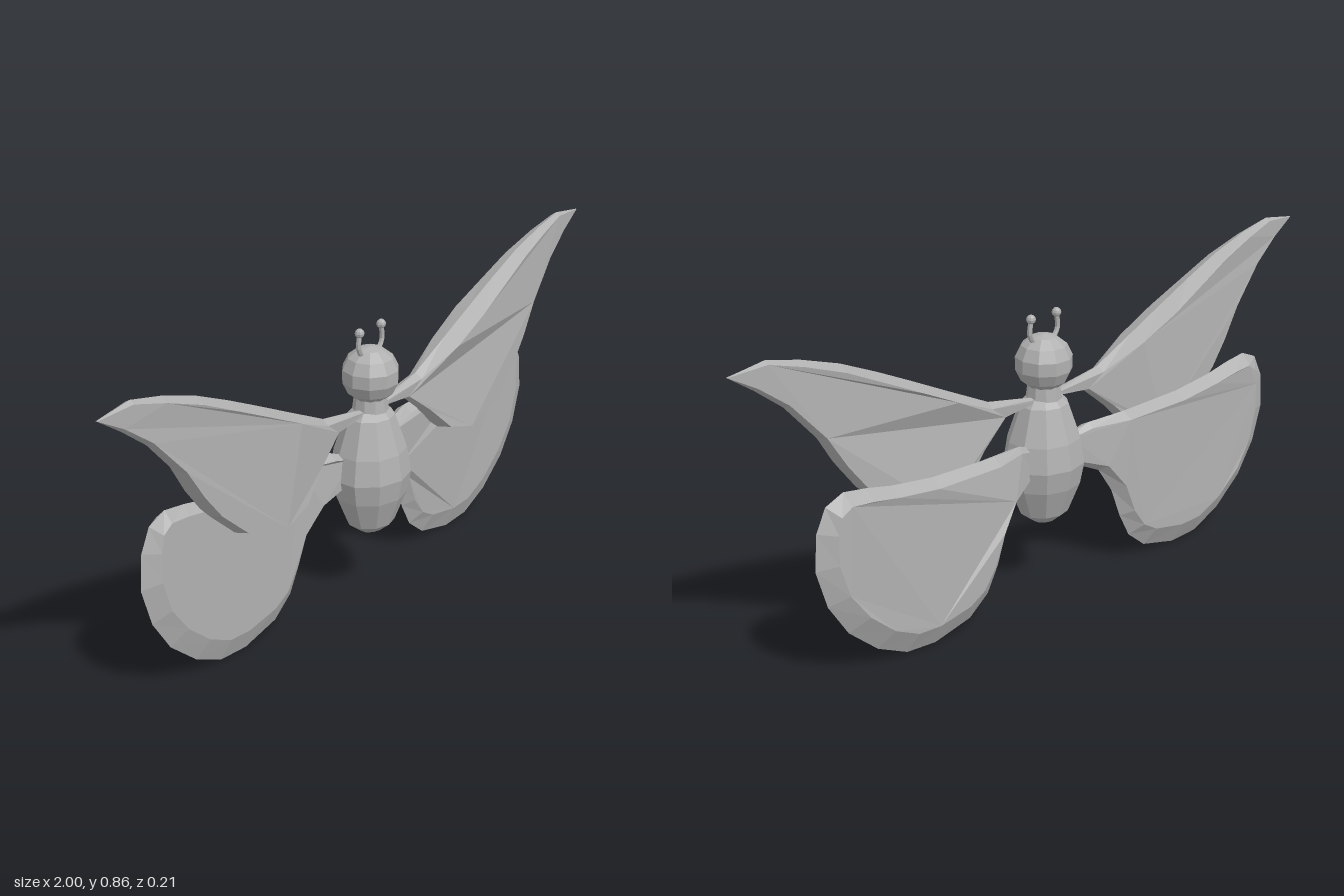
import * as THREE from 'three';

const grey = new THREE.MeshStandardMaterial({ color: 0xb0b0b0, flatShading: true });
grey.name = 'grey';

function addMesh(parent, name, geometry) {
  const mesh = new THREE.Mesh(geometry, grey);
  mesh.name = name;
  parent.add(mesh);
  return mesh;
}

// Linear interpolation in a short table of [x, value] pairs
function sample(table, x) {
  if (x <= table[0][0]) return table[0][1];
  for (let i = 1; i < table.length; i++) {
    const [x0, v0] = table[i - 1], [x1, v1] = table[i];
    if (x <= x1) return v0 + (v1 - v0) * (x - x0) / (x1 - x0);
  }
  return table[table.length - 1][1];
}

// Wing outlines of the left side: [x, y, bevel width]
const foreOutline = [
  [0.04, 0.55, 0.003], [0.2, 0.58, 0.014], [0.33, 0.642, 0.018], [0.45, 0.7, 0.018], [0.56, 0.752, 0.018],
  [0.674, 0.802, 0.015], [0.79, 0.84, 0.012], [0.89, 0.863, 0.008], [0.998, 0.847, 0.001],
  [0.925, 0.797, 0.008], [0.845, 0.735, 0.01], [0.75, 0.63, 0.01], [0.695, 0.543, 0.01],
  [0.64, 0.473, 0.01], [0.55, 0.393, 0.01], [0.406, 0.354, 0.01], [0.31, 0.382, 0.01],
  [0.23, 0.457, 0.01], [0.15, 0.522, 0.008], [0.04, 0.536, 0.003],
];
const foreFront = [[0.04, 0.012], [0.18, 0.016], [0.37, 0.052], [0.72, 0.03], [1, 0.002]];
const foreBack = [[0.04, -0.012], [0.18, -0.018], [0.4, -0.056], [0.72, -0.032], [1, -0.002]];
const foreRim = [[0, 0]];

const hindOutline = [
  [0.06, 0.42, 0.01], [0.128, 0.447, 0.015], [0.24, 0.457, 0.02], [0.45, 0.462, 0.022], [0.58, 0.478, 0.022],
  [0.66, 0.495, 0.025], [0.73, 0.505, 0.03], [0.785, 0.482, 0.04], [0.815, 0.42, 0.05],
  [0.823, 0.323, 0.055], [0.79, 0.217, 0.055], [0.73, 0.126, 0.06], [0.64, 0.05, 0.06],
  [0.545, 0.006, 0.06], [0.45, 0, 0.06], [0.33, 0.028, 0.055], [0.267, 0.078, 0.045],
  [0.23, 0.147, 0.035], [0.2, 0.233, 0.03], [0.16, 0.3, 0.02], [0.06, 0.345, 0.01],
];
const hindFront = [[0.06, -0.008], [0.14, -0.012], [0.24, -0.042], [0.82, -0.043]];
const hindBack = [[0.06, -0.035], [0.12, -0.05], [0.2, -0.092], [0.7, -0.1], [0.82, -0.085]];
const hindRim = [[0.06, -0.022], [0.22, -0.065]];

// Wing: a sharp rim bevelled inwards to a front and a back face
function wingGeometry(outline, frontZ, backZ, rimZ, side) {
  let pts = outline.map(([x, y, w]) => ({ p: new THREE.Vector2(x * side, y), w }));
  if (THREE.ShapeUtils.area(pts.map((o) => o.p)) < 0) pts = pts.reverse();
  const n = pts.length;
  const inner = pts.map(({ p, w }, i) => {
    const before = pts[(i + n - 1) % n].p, after = pts[(i + 1) % n].p;
    const t = after.clone().sub(before).normalize();
    return new THREE.Vector2(p.x - t.y * w, p.y + t.x * w);
  });
  const pos = [], index = [];
  for (const { p } of pts) pos.push(p.x, p.y, sample(rimZ, Math.abs(p.x)));
  for (const p of inner) pos.push(p.x, p.y, sample(frontZ, Math.abs(p.x)));
  for (const p of inner) pos.push(p.x, p.y, sample(backZ, Math.abs(p.x)));
  for (let i = 0; i < n; i++) {
    const j = (i + 1) % n;
    index.push(i, j, n + j, i, n + j, n + i);
    index.push(j, i, 2 * n + i, j, 2 * n + i, 2 * n + j);
  }
  for (const [a, b, c] of THREE.ShapeUtils.triangulateShape(inner, [])) {
    index.push(n + a, n + b, n + c, 2 * n + c, 2 * n + b, 2 * n + a);
  }
  const g = new THREE.BufferGeometry();
  g.setAttribute('position', new THREE.Float32BufferAttribute(pos, 3));
  g.setIndex(index);
  g.computeVertexNormals();
  return g;
}

export function createModel() {
  const model = new THREE.Group();
  model.name = 'butterfly';

  // Faceted body, neck and head
  const profile = [[0, 0.187], [0.035, 0.191], [0.07, 0.217], [0.105, 0.3], [0.117, 0.36],
    [0.105, 0.43], [0.07, 0.527], [0.045, 0.55], [0, 0.555]];
  const body = addMesh(model, 'body',
    new THREE.LatheGeometry(profile.map(([r, y]) => new THREE.Vector2(r, y)), 10));
  body.scale.z = 0.9;
  const neck = addMesh(model, 'neck', new THREE.CylinderGeometry(0.042, 0.05, 0.06, 10));
  neck.position.y = 0.565;
  const head = addMesh(model, 'head', new THREE.SphereGeometry(0.079, 10, 7));
  head.position.y = 0.641;

  for (const side of [1, -1]) {
    const label = side > 0 ? 'left' : 'right';

    // Wings
    addMesh(model, label + 'Forewing', wingGeometry(foreOutline, foreFront, foreBack, foreRim, side));
    addMesh(model, label + 'Hindwing', wingGeometry(hindOutline, hindFront, hindBack, hindRim, side));

    // Antenna with a round end
    const curve = new THREE.CatmullRomCurve3([[0.03, 0.695], [0.05, 0.725], [0.046, 0.765]]
      .map(([x, y]) => new THREE.Vector3(x * side, y, 0)));
    addMesh(model, label + 'Antenna', new THREE.TubeGeometry(curve, 6, 0.007, 6));
    const bulb = addMesh(model, label + 'AntennaBulb', new THREE.SphereGeometry(0.013, 8, 6));
    bulb.position.set(0.046 * side, 0.768, 0);
  }
  return model;
}
